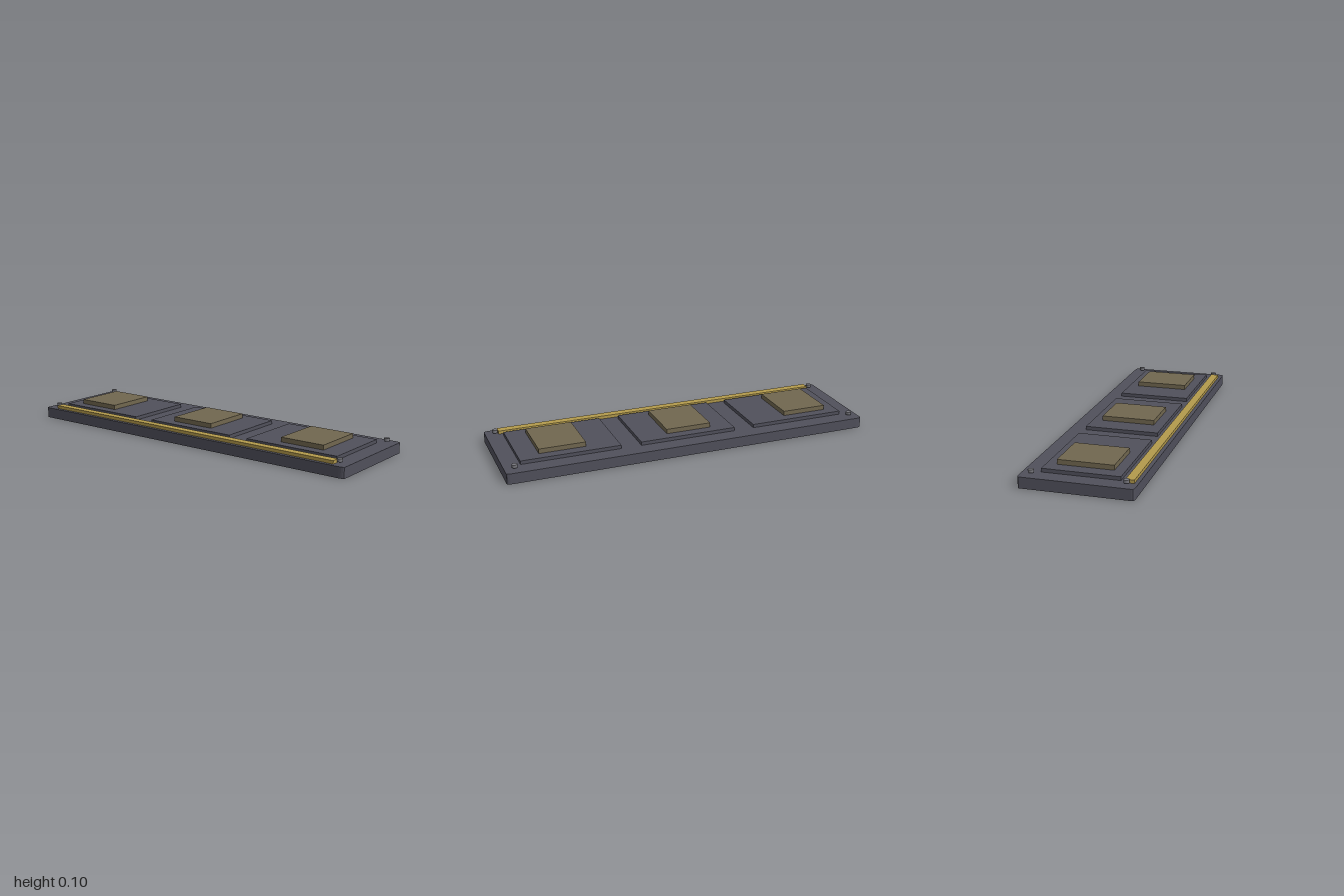
import * as THREE from 'three';

const mat = (name, color) => {
  const m = new THREE.MeshStandardMaterial({ color });
  m.name = name;
  return m;
};

export function createModel() {
  const group = new THREE.Group();
  const slate = mat('slate grey', 0x50505b);
  const bronze = mat('dull bronze', 0x71674f);
  const gold = mat('gold', 0xb39a4c);
  const steel = mat('steel grey', 0x77777d);

  const add = (name, geometry, material, x, y, z) => {
    const mesh = new THREE.Mesh(geometry, material);
    mesh.name = name;
    mesh.position.set(x, y, z);
    group.add(mesh);
  };

  // Base slab with small softened corners
  const W = 1, D = 0.285, cx = 0.03, cz = 0.012, H = 0.057;
  const s = new THREE.Shape();
  s.moveTo(-W + cx, -D);
  s.lineTo(W - cx, -D);
  s.quadraticCurveTo(W, -D, W, -D + cz);
  s.lineTo(W, D - cz);
  s.quadraticCurveTo(W, D, W - cx, D);
  s.lineTo(-W + cx, D);
  s.quadraticCurveTo(-W, D, -W, D - cz);
  s.lineTo(-W, -D + cz);
  s.quadraticCurveTo(-W, -D, -W + cx, -D);
  const slab = new THREE.ExtrudeGeometry(s, { depth: H, bevelEnabled: false, curveSegments: 4 });
  slab.rotateX(-Math.PI / 2);
  add('baseSlab', slab, slate, 0, 0, 0);

  // Three raised plates, each carrying an off-centre block
  const plate = new THREE.BoxGeometry(0.533, 0.019, 0.392);
  const block = new THREE.BoxGeometry(0.25, 0.025, 0.285);
  [-0.645, 0, 0.643].forEach((x, i) => {
    add(`raisedPlate${i + 1}`, plate, slate, x, H + 0.0095, 0);
    add(`block${i + 1}`, block, bronze, [-0.716, -0.02, 0.676][i], 0.0885, 0);
  });

  // Long trim rail along the front edge
  add('frontRail', new THREE.BoxGeometry(1.86, 0.017, 0.043), gold, 0, H + 0.0085, 0.244);

  // Corner pin heads, set just above the slab
  const pin = new THREE.CylinderGeometry(0.0145, 0.0145, 0.016, 12);
  for (const x of [-0.947, 0.947])
    for (const z of [-0.233, 0.233]) add('cornerPin', pin, steel, x, 0.0735, z);

  return group;
}
